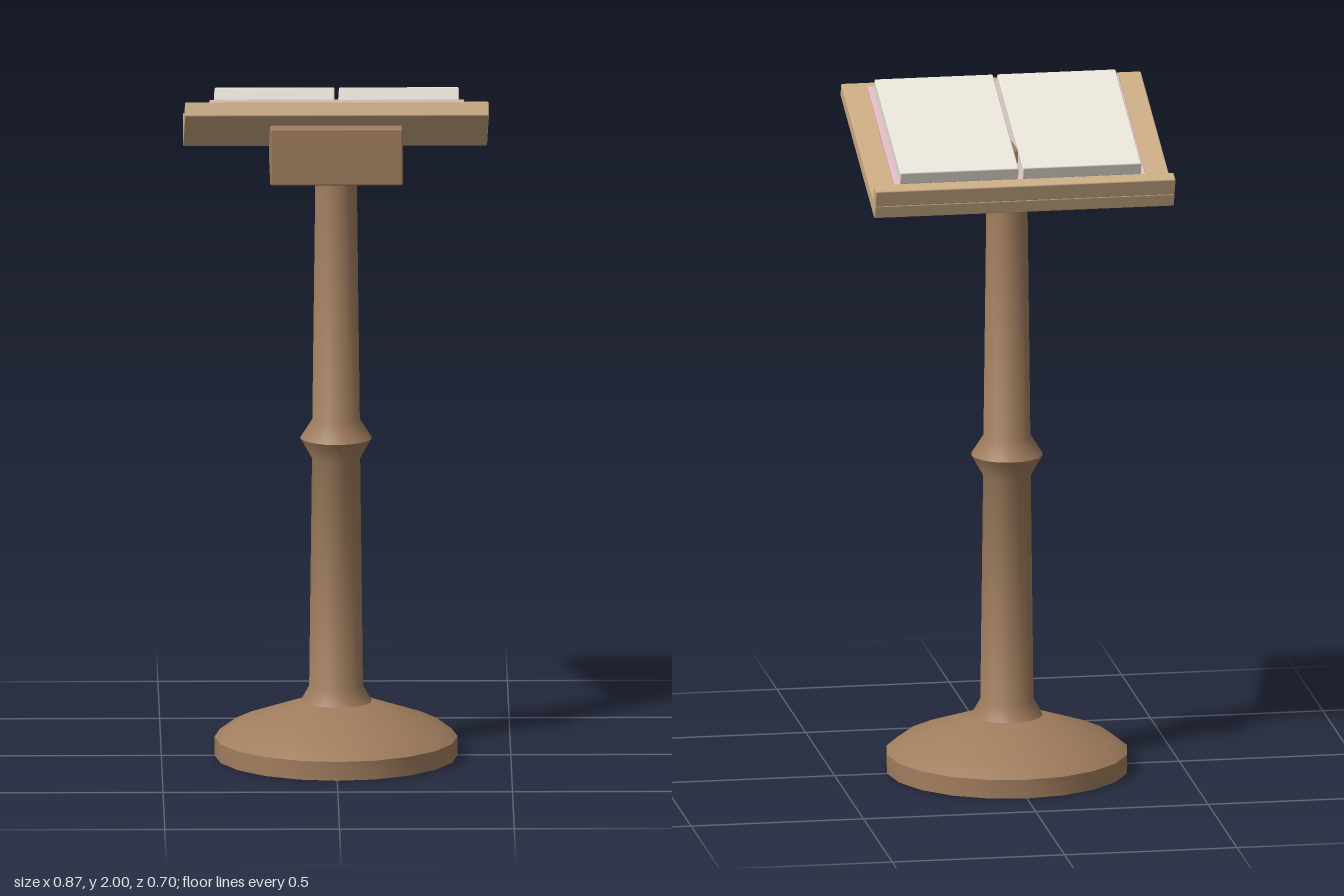
import * as THREE from 'three';
import { toCreasedNormals } from 'three/addons/utils/BufferGeometryUtils.js';
import { RoundedBoxGeometry } from 'three/addons/geometries/RoundedBoxGeometry.js';

const material = (color) => new THREE.MeshStandardMaterial({ color });
const darkWood = material(0xa07d5e);
const lightWood = material(0xcdae86);
const paper = material(0xeae6da);
const coverPink = material(0xe3bcc4);

// Slightly softened box given by its lower and upper corners
function slab(name, min, max, mat, radius = 0.004) {
  const size = max.map((v, i) => v - min[i]);
  const mesh = new THREE.Mesh(new RoundedBoxGeometry(...size, 1, radius), mat);
  mesh.position.set(...max.map((v, i) => (v + min[i]) / 2));
  mesh.name = name;
  return mesh;
}

// Turned part from a [radius, height] profile running upwards
function turned(name, profile) {
  const points = profile.map(([r, y]) => new THREE.Vector2(r, y));
  const geometry = toCreasedNormals(new THREE.LatheGeometry(points, 20), 0.7);
  const mesh = new THREE.Mesh(geometry, darkWood);
  mesh.name = name;
  return mesh;
}

export function createModel() {
  const model = new THREE.Group();
  model.name = 'lectern';

  // Foot, column and the block under the desk
  model.add(turned('foot', [
    [0, 0], [0.348, 0], [0.348, 0.055], [0.3, 0.09], [0.102, 0.16], [0, 0.16],
  ]));
  model.add(turned('column', [
    [0.102, 0.16], [0.077, 0.205], [0.069, 0.87], [0.103, 0.93],
    [0.068, 0.985], [0.059, 1.72],
  ]));
  model.add(slab('supportBlock', [-0.19, 1.7, -0.155], [0.19, 1.867, 0.155], darkWood, 0.006));

  // Sloping desk, low at the reader's side (-z)
  const desk = new THREE.Group();
  desk.name = 'desk';
  desk.position.set(0, 1.846, -0.01);
  desk.rotation.x = -THREE.MathUtils.degToRad(20);
  desk.add(slab('deskBoard', [-0.435, -0.021, -0.313], [0.435, 0.021, 0.313], lightWood));
  desk.add(slab('deskLip', [-0.435, 0.019, -0.313], [0.435, 0.071, -0.275], lightWood));

  // Open book: cover and two page blocks
  const book = new THREE.Group();
  book.name = 'openBook';
  book.add(slab('bookCover', [-0.365, 0.02, -0.243], [0.365, 0.033, 0.276], coverPink, 0.003));
  for (const side of [-1, 1]) {
    const pages = slab('pages', [-0.172, 0.032, -0.224], [0.172, 0.071, 0.256], paper);
    pages.position.x = side * 0.178;
    pages.name = side > 0 ? 'leftPages' : 'rightPages';
    book.add(pages);
  }
  desk.add(book);
  model.add(desk);

  return model;
}
